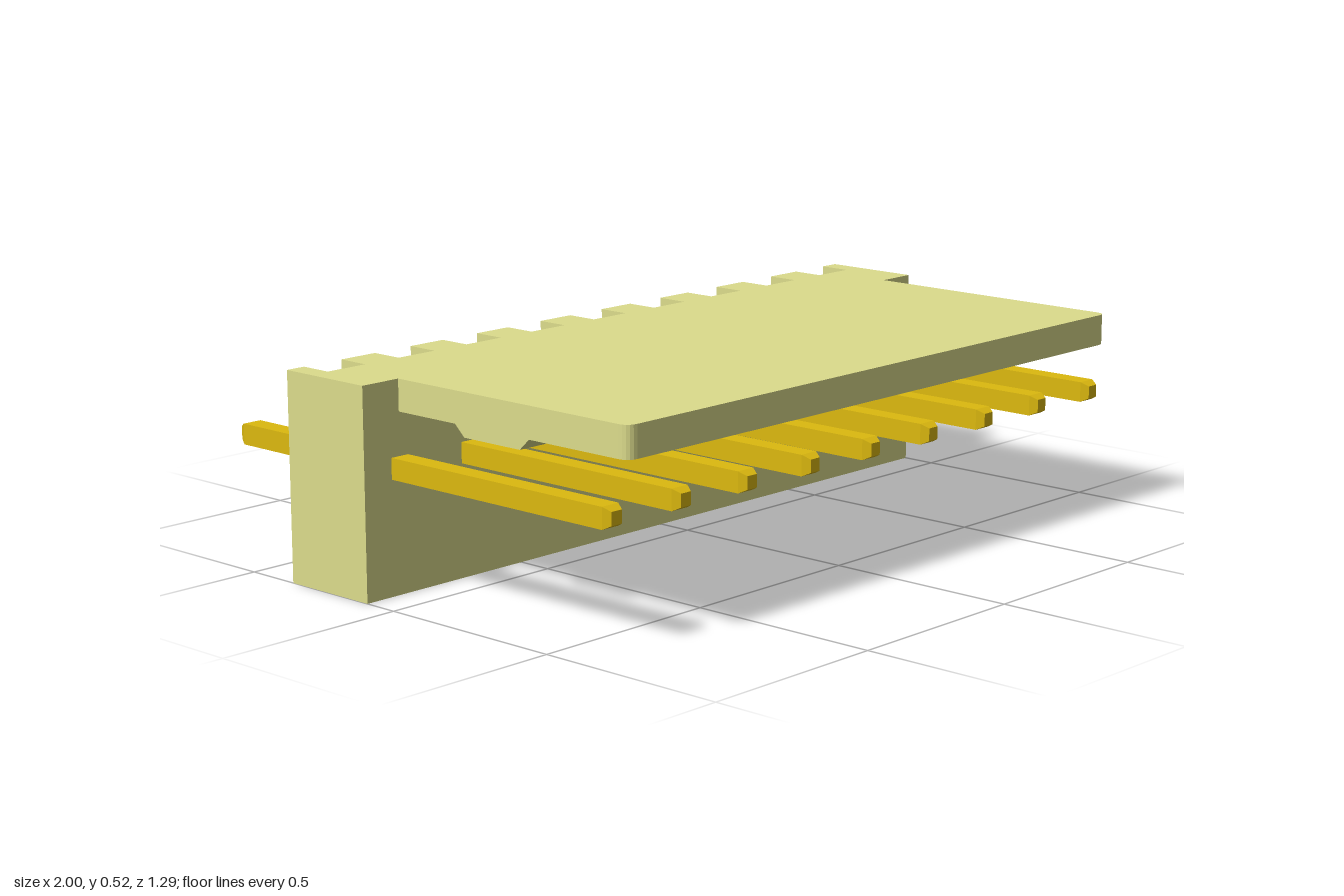
import * as THREE from 'three';

const PINS = 9, PITCH = 0.2225;
const pinX = (i) => (i - (PINS - 1) / 2) * PITCH;

export function createModel() {
  const group = new THREE.Group();
  const plastic = new THREE.MeshStandardMaterial({ color: 0xdcdc8c, flatShading: true });
  const metal = new THREE.MeshStandardMaterial({ color: 0xdcb90f, flatShading: true });
  const add = (name, geometry, material) => {
    const mesh = new THREE.Mesh(geometry, material);
    mesh.name = name;
    group.add(mesh);
    return mesh;
  };

  // Plan outlines are drawn in (x, -z) and extruded upwards
  const extrudeUp = (shape, y0, y1) =>
    new THREE.ExtrudeGeometry(shape, { depth: y1 - y0, bevelEnabled: false, curveSegments: 5 })
      .rotateX(-Math.PI / 2).translate(0, y0, 0);

  // Upright housing with a full-height slot behind every pin
  const front = 0.09, back = 0.355, slotFloor = 0.27, slotHalf = 0.058;
  const plan = new THREE.Shape();
  plan.moveTo(-1, front);
  plan.lineTo(1, front);
  plan.lineTo(1, back);
  for (let i = PINS - 1; i >= 0; i--) {
    const x = pinX(i);
    plan.lineTo(x + slotHalf, back);
    plan.lineTo(x + slotHalf, slotFloor);
    plan.lineTo(x - slotHalf, slotFloor);
    plan.lineTo(x - slotHalf, back);
  }
  plan.lineTo(-1, back);
  plan.closePath();
  add('housing', extrudeUp(plan, 0, 0.518), plastic);

  // Overhanging plate with rounded front corners
  const w = 0.89, tip = -0.645, r = 0.03;
  const plate = new THREE.Shape();
  plate.moveTo(-w, front);
  plate.lineTo(-w, tip + r);
  plate.quadraticCurveTo(-w, tip, -w + r, tip);
  plate.lineTo(w - r, tip);
  plate.quadraticCurveTo(w, tip, w, tip + r);
  plate.lineTo(w, front);
  plate.closePath();
  add('lockingPlate', extrudeUp(plate, 0.44, 0.518), plastic);

  // Sloped latch ridge under the plate, profile in (-z, y)
  const ridge = new THREE.Shape([
    [-0.34, 0.44], [-0.31, 0.412], [-0.13, 0.412], [-0.1, 0.44],
  ].map(([a, b]) => new THREE.Vector2(a, b)));
  add('latchRidge', new THREE.ExtrudeGeometry(ridge, { depth: 2 * w, bevelEnabled: false })
    .rotateY(Math.PI / 2).translate(-w, 0, 0), plastic);

  // Square pins with chamfered tips at both ends
  const half = 0.026, chamfer = 0.01, tipLength = 0.02, zMin = -0.645, zMax = 0.61;
  const s = half - chamfer;
  const square = new THREE.Shape([
    new THREE.Vector2(-s, -s), new THREE.Vector2(s, -s),
    new THREE.Vector2(s, s), new THREE.Vector2(-s, s),
  ]);
  const pin = new THREE.ExtrudeGeometry(square, {
    depth: zMax - zMin - 2 * tipLength,
    bevelThickness: tipLength, bevelSize: chamfer, bevelSegments: 1,
  }).translate(0, 0.308, zMin + tipLength);
  for (let i = 0; i < PINS; i++) add(`pin${i + 1}`, pin, metal).position.x = pinX(i);

  return group;
}
